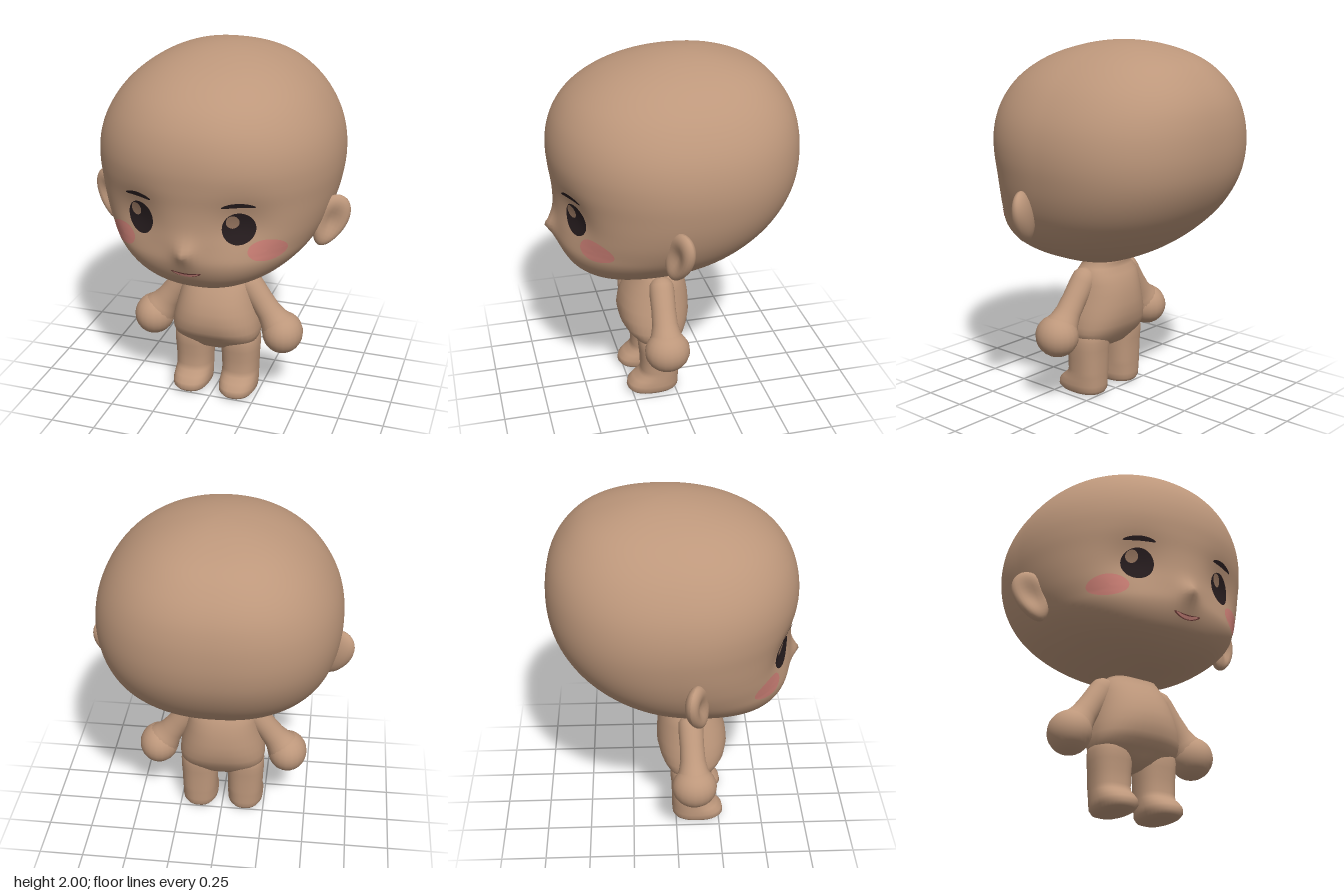
import * as THREE from 'three';

const mat = (name, color) => {
  const m = new THREE.MeshStandardMaterial({ color });
  m.name = name;
  return m;
};

// Head sections from crown to chin: y, half width, front z, back z
const HEAD = [
  [2.0, 0, -0.07, -0.07], [1.97, 0.21, 0.175, -0.3], [1.9, 0.375, 0.38, -0.48],
  [1.8, 0.502, 0.528, -0.59], [1.7, 0.578, 0.605, -0.65], [1.6, 0.626, 0.643, -0.678],
  [1.5, 0.65, 0.656, -0.687], [1.4, 0.655, 0.65, -0.682], [1.3, 0.644, 0.637, -0.66],
  [1.2, 0.622, 0.632, -0.615], [1.1, 0.585, 0.632, -0.546], [1.0, 0.525, 0.628, -0.445],
  [0.9, 0.42, 0.583, -0.31], [0.85, 0.34, 0.535, -0.22], [0.8, 0.23, 0.455, -0.1],
  [0.77, 0.135, 0.37, 0], [0.752, 0, 0.18, 0.18],
];
const yToPhi = (y) => Math.acos(THREE.MathUtils.clamp((y - 1.376) / 0.624, -1, 1));
const headCurve = new THREE.CubicInterpolant(
  HEAD.map((s) => yToPhi(s[0])), HEAD.flatMap((s) => s.slice(1)), 3, new Float64Array(3));

function headSection(y) {
  const [w, f, b] = headCurve.evaluate(yToPhi(y));
  return [y, Math.max(w, 0.001), f, b, 0];
}

// The back is squarer than the face, and the jaw fills out towards the chin
const frontPower = (y) => 2.12 + 1.3 * Math.max(0, 1.05 - y);
const headPower = (y, front) => (front ? frontPower(y) : 2.35);

// Small pointed nose and shallow eye sockets
const bell = (x, y, sx, sy) => Math.exp(-((x / sx) ** 2) - (y / sy) ** 2);
const faceRelief = (x, y) =>
  0.057 * Math.exp(-(Math.hypot(x / 0.05, (y - 1.07) / 0.055) ** 1.4)) -
  0.042 * bell(Math.abs(x) - 0.28, y - 1.21, 0.14, 0.14);

function faceZ(x, y) {
  const [, w, f, b] = headSection(y);
  const n = frontPower(y);
  const t = Math.max(0, 1 - Math.abs(x / w) ** n) ** (1 / n);
  return (f + b) / 2 + ((f - b) / 2) * t + faceRelief(x, y);
}

// Closed skin through rounded sections [y, half width, front z, back z, centre x], bottom to top
function loft(sections, n, power, relief = () => 0) {
  const pos = [], index = [];
  sections.forEach(([y, w, f, b, cx], j) => {
    for (let i = 0; i < n; i++) {
      const a = (i / n) * Math.PI * 2, front = i < n / 2;
      const round = (c) => Math.sign(c) * Math.abs(c) ** (2 / power(y, front));
      const x = cx + w * round(Math.cos(a));
      const z = (f + b) / 2 + ((f - b) / 2) * round(Math.sin(a));
      pos.push(x, y, z + (front ? relief(x, y) : 0));
      if (j === sections.length - 1) continue;
      const p = j * n + i, q = j * n + ((i + 1) % n);
      index.push(p, p + n, q, q, p + n, q + n);
    }
  });
  const g = new THREE.BufferGeometry();
  g.setAttribute('position', new THREE.Float32BufferAttribute(pos, 3));
  g.setIndex(index);
  g.computeVertexNormals();
  return g;
}

// Oval laid onto the face, optionally bent into an arc
function decal(cx, cy, rx, ry, bend, lift) {
  const g = new THREE.RingGeometry(0.001, 1, 32, 5);
  const p = g.attributes.position;
  for (let i = 0; i < p.count; i++) {
    const u = p.getX(i), v = p.getY(i);
    const x = cx + rx * u, y = cy + ry * v + bend * u * u;
    p.setXYZ(i, x, y, faceZ(x, y) + lift);
  }
  g.computeVertexNormals();
  return g;
}

// Flattened oval, narrower at the lobe, with a hollow in its front
function earGeometry() {
  const g = new THREE.SphereGeometry(1, 24, 18);
  const p = g.attributes.position;
  for (let i = 0; i < p.count; i++) {
    const x = p.getX(i), y = p.getY(i), z = p.getZ(i);
    const dent = z > 0 ? 0.055 * bell(x, y, 0.6, 0.6) : 0;
    p.setXYZ(i, x * 0.09 * (1 + 0.2 * y), y * 0.15, z * 0.06 - dent);
  }
  g.computeVertexNormals();
  return g;
}

export function createModel() {
  const model = new THREE.Group();
  const skin = mat('skin', 0xbd977b);
  const dark = mat('eyeDark', 0x271d1f);
  const shine = mat('eyeShine', 0x96755f);
  const blush = mat('blush', 0xcd8076);
  const lip = mat('lip', 0xdb8f86);
  const line = mat('mouthLine', 0x74403c);

  const add = (name, geometry, material, parent = model) => {
    const m = new THREE.Mesh(geometry, material);
    m.name = name;
    parent.add(m);
    return m;
  };

  // Head
  const rows = Array.from({ length: 91 }, (_, j) =>
    headSection(1.376 - 0.624 * Math.cos((j / 90) * Math.PI)));
  add('head', loft(rows, 144, headPower, faceRelief), skin);

  // Mouth: thin outline with the lip inside
  add('mouthLine', decal(0, 0.941, 0.081, 0.012, 0.017, 0.005), line);
  add('lip', decal(0, 0.939, 0.07, 0.0075, 0.017, 0.008), lip);

  // Torso with neck, belly and seat
  add('torso', loft([
    [0.255, 0.001, 0.09, 0.09, 0], [0.265, 0.04, 0.14, 0.04, 0], [0.29, 0.12, 0.185, -0.01, 0],
    [0.32, 0.205, 0.207, -0.032, 0], [0.35, 0.24, 0.232, -0.052, 0], [0.385, 0.249, 0.262, -0.075, 0],
    [0.42, 0.25, 0.283, -0.09, 0],
    [0.48, 0.243, 0.295, -0.105, 0], [0.54, 0.228, 0.288, -0.105, 0], [0.6, 0.213, 0.268, -0.1, 0],
    [0.66, 0.2, 0.238, -0.088, 0], [0.71, 0.19, 0.205, -0.068, 0], [0.745, 0.165, 0.185, -0.045, 0],
    [0.77, 0.135, 0.18, -0.045, 0], [0.82, 0.13, 0.185, -0.05, 0], [0.83, 0.001, 0.07, 0.07, 0],
  ], 40, (y) => 2.3 + 3 * Math.max(0, 0.5 - y)), skin);

  const ear = earGeometry();
  for (const s of [1, -1]) {
    const side = s > 0 ? 'left' : 'right';

    // Face details
    add(side + 'Eye', decal(s * 0.262, 1.207, 0.079, 0.088, 0, 0.005), dark);
    add(side + 'EyeShine', decal(s * 0.262 - 0.028, 1.245, 0.031, 0.036, 0, 0.008), shine);
    add(side + 'Eyebrow', decal(s * 0.265, 1.342, 0.08, 0.013, -0.012, 0.006), dark);
    add(side + 'Blush', decal(s * 0.39, 1.08, 0.086, 0.06, 0, 0.004), blush);

    // Ear
    const e = add(side + 'Ear', ear, skin);
    e.position.set(s * 0.627, 1.115, 0.095);
    e.rotation.set(0, s * 0.45, -s * 0.4);

    // Arm with rounded shoulder and ball hand
    const arm = new THREE.Group();
    arm.name = side + 'Arm';
    model.add(arm);
    const shoulder = new THREE.Vector3(s * 0.18, 0.682, 0.08);
    const hand = new THREE.Vector3(s * 0.382, 0.402, 0.095);
    const dir = hand.clone().sub(shoulder);
    const profile = [[0.001, -0.07], [0.03, -0.063], [0.053, -0.045], [0.067, -0.02], [0.07, 0.02],
      [0.068, 0.12], [0.071, 0.2], [0.082, 0.25], [0.099, 0.285], [0.104, 0.33], [0.05, 0.36]];
    const limb = add(side + 'Limb',
      new THREE.LatheGeometry(profile.map(([r, y]) => new THREE.Vector2(r, y)), 24), skin, arm);
    limb.position.copy(shoulder);
    limb.quaternion.setFromUnitVectors(new THREE.Vector3(0, 1, 0), dir.normalize());
    const ball = add(side + 'Hand', new THREE.SphereGeometry(1, 20, 14), skin, arm);
    ball.scale.set(0.114, 0.117, 0.125);
    ball.position.copy(hand);

    // Leg with forward foot, its top hidden in the torso
    add(side + 'Leg', loft([
      [0.003, 0.001, 0.12, 0.12], [0.005, 0.06, 0.22, 0.02], [0.015, 0.09, 0.26, -0.008],
      [0.035, 0.105, 0.276, -0.02], [0.065, 0.107, 0.27, -0.022], [0.095, 0.105, 0.24, -0.022],
      [0.12, 0.104, 0.205, -0.023], [0.15, 0.104, 0.195, -0.024], [0.22, 0.106, 0.197, -0.025],
      [0.28, 0.11, 0.203, -0.028], [0.33, 0.11, 0.208, -0.033], [0.38, 0.1, 0.2, -0.03],
      [0.42, 0.06, 0.16, 0],
    ].map((r) => [...r, s * 0.137]), 32, () => 2.4), skin);
  }
  return model;
}
